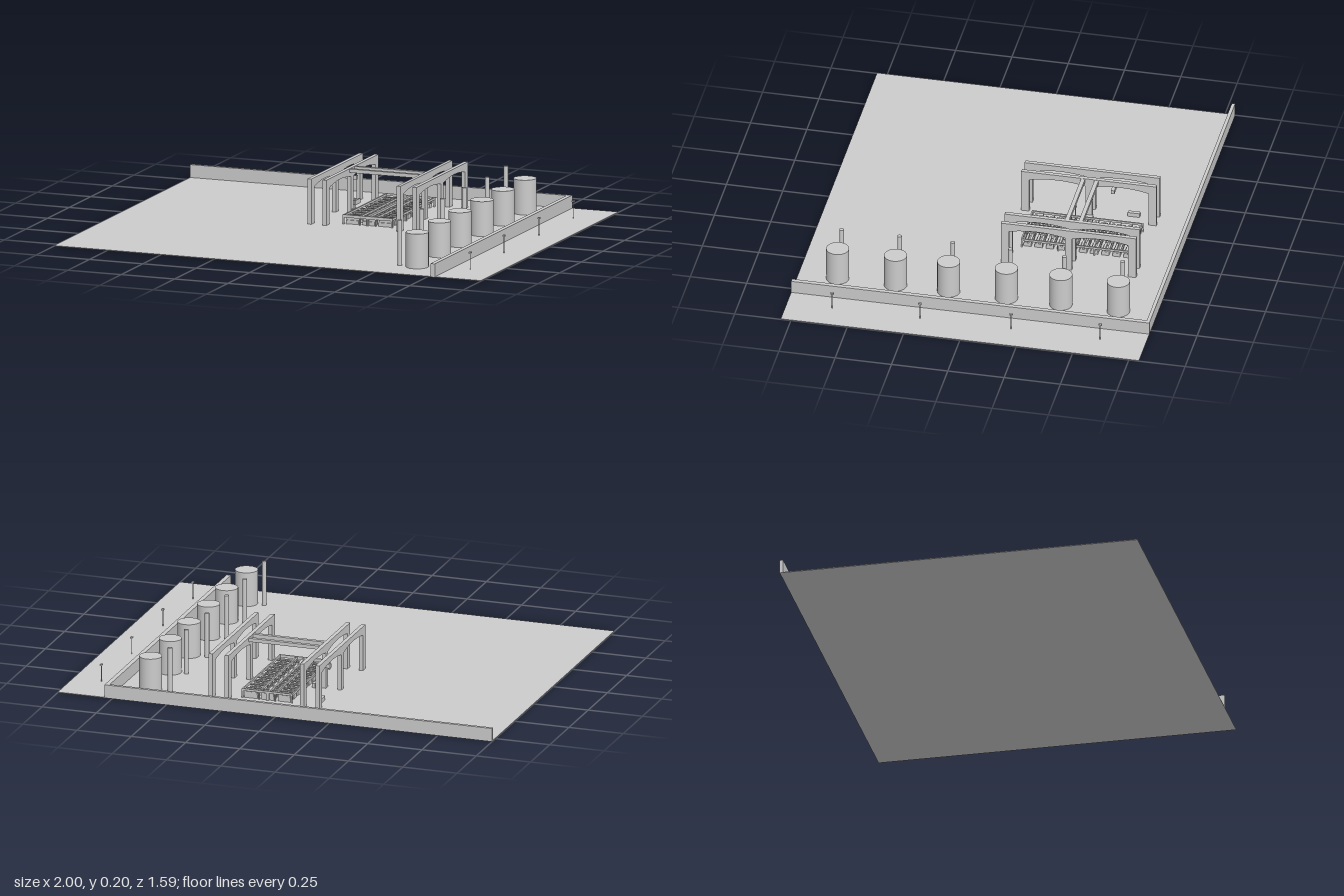
import * as THREE from 'three';

const material = new THREE.MeshStandardMaterial({ color: 0xcccccc });

export function createModel() {
  const model = new THREE.Group();

  function add(parent, name, geometry, x = 0, y = 0, z = 0) {
    const mesh = new THREE.Mesh(geometry, material);
    mesh.name = name;
    mesh.position.set(x, y, z);
    parent.add(mesh);
    return mesh;
  }
  // Box given by its limits on each axis
  function box(parent, name, x0, x1, y0, y1, z0, z1) {
    return add(parent, name, new THREE.BoxGeometry(x1 - x0, y1 - y0, z1 - z0),
      (x0 + x1) / 2, (y0 + y1) / 2, (z0 + z1) / 2);
  }
  // Upright cylinder standing on the ground
  function post(parent, name, x, z, radius, height, sides) {
    return add(parent, name, new THREE.CylinderGeometry(radius, radius, height, sides), x, height / 2, z);
  }
  function group(name) {
    const g = new THREE.Group();
    g.name = name;
    model.add(g);
    return g;
  }

  // Ground and perimeter walls
  box(model, 'ground', -1, 1, 0, 0.003, -0.795, 0.795);
  box(model, 'backWall', -1, 0.785, 0.003, 0.06, -0.795, -0.78);
  box(model, 'sideWall', 0.765, 0.785, 0.003, 0.06, -0.78, 0.795);

  // Row of tanks, each with a thin chimney beside it
  const tanks = group('tankRow');
  const tankZ = [-0.625, -0.37, -0.128, 0.128, 0.364, 0.621];
  const chimneyX = [0.543, 0.558, 0.549, 0.549, 0.549, 0.551];
  tankZ.forEach((z, i) => {
    post(tanks, 'tank', 0.632, z, 0.05, 0.157, 32);
    post(tanks, 'chimney', chimneyX[i], z, 0.01, 0.204, 16);
  });

  // Lamp posts outside the side wall
  const lamps = group('lampPosts');
  for (const z of [-0.595, -0.2, 0.205, 0.595]) {
    post(lamps, 'lampPole', 0.87, z, 0.002, 0.082, 8);
    box(lamps, 'lampHead', 0.865, 0.875, 0.076, 0.082, z - 0.007, z + 0.007);
  }

  // Gantry side profile: three legs under two shallow arches
  const profile = new THREE.Shape();
  profile.moveTo(0.045, 0);
  profile.lineTo(0.045, 0.204);
  profile.lineTo(0.645, 0.204);
  profile.lineTo(0.645, 0);
  profile.lineTo(0.61, 0);
  profile.lineTo(0.61, 0.165);
  profile.quadraticCurveTo(0.485, 0.192, 0.36, 0.165);
  profile.lineTo(0.36, 0);
  profile.lineTo(0.33, 0);
  profile.lineTo(0.33, 0.165);
  profile.quadraticCurveTo(0.205, 0.192, 0.08, 0.165);
  profile.lineTo(0.08, 0);
  profile.closePath();
  const gantryGeometry = new THREE.ExtrudeGeometry(profile,
    { depth: 0.018, bevelEnabled: false, curveSegments: 12 });
  gantryGeometry.translate(0, 0, -0.009);
  gantryGeometry.rotateY(Math.PI / 2);

  const gantries = group('gantries');
  for (const x of [-0.143, -0.072, 0.275, 0.349]) add(gantries, 'gantry', gantryGeometry, x);

  // Bridge beams and a small bracket between gantries
  for (const z of [-0.38, -0.32]) {
    box(gantries, 'bridgeBeam', -0.081, 0.266, 0.187, 0.203, z - 0.009, z + 0.009);
  }
  box(gantries, 'bracket', -0.134, -0.081, 0.13, 0.147, -0.455, -0.439);

  // Open rack: rails on short legs
  const rack = group('rack');
  for (const x of [-0.008, 0.068, 0.1, 0.107, 0.142, 0.219]) {
    box(rack, 'rail', x - 0.003, x + 0.003, 0.034, 0.044, -0.6, -0.105);
    for (const z of [-0.597, -0.43, -0.27, -0.108]) {
      box(rack, 'leg', x - 0.003, x + 0.003, 0.003, 0.036, z - 0.003, z + 0.003);
    }
  }
  for (const z of [-0.597, -0.108]) {
    box(rack, 'endRail', -0.011, 0.222, 0.035, 0.045, z - 0.003, z + 0.003);
  }

  // Slatted trays in three columns
  const columns = [[0.001, 0.058], [0.077, 0.135], [0.153, 0.211]];
  for (let row = 0; row < 10; row++) {
    const z = -0.575 + row * 0.0493;
    for (const [x0, x1] of columns) {
      box(rack, 'trayBase', x0, x1, 0.003, 0.02, z - 0.017, z + 0.017);
      for (const dz of [-0.013, 0.006]) {
        box(rack, 'slat', x0, x1, 0.02, 0.032, z + dz - 0.005, z + dz + 0.005);
      }
    }
    box(rack, 'crossBar', -0.008, 0.219, 0.032, 0.037, z + 0.021, z + 0.025);
  }

  // Ground equipment beside the rack
  const equipment = group('equipment');
  box(equipment, 'cabinet', -0.13, -0.113, 0.003, 0.022, -0.56, -0.507);
  box(equipment, 'cabinet', -0.038, -0.022, 0.003, 0.022, -0.277, -0.224);
  box(equipment, 'console', -0.06, -0.044, 0.003, 0.022, -0.366, -0.33);
  box(equipment, 'console', -0.035, -0.02, 0.003, 0.022, -0.37, -0.325);
  post(equipment, 'mast', -0.03, -0.293, 0.002, 0.08, 8);
  box(equipment, 'mastHead', -0.034, -0.026, 0.074, 0.08, -0.3, -0.286);

  return model;
}
